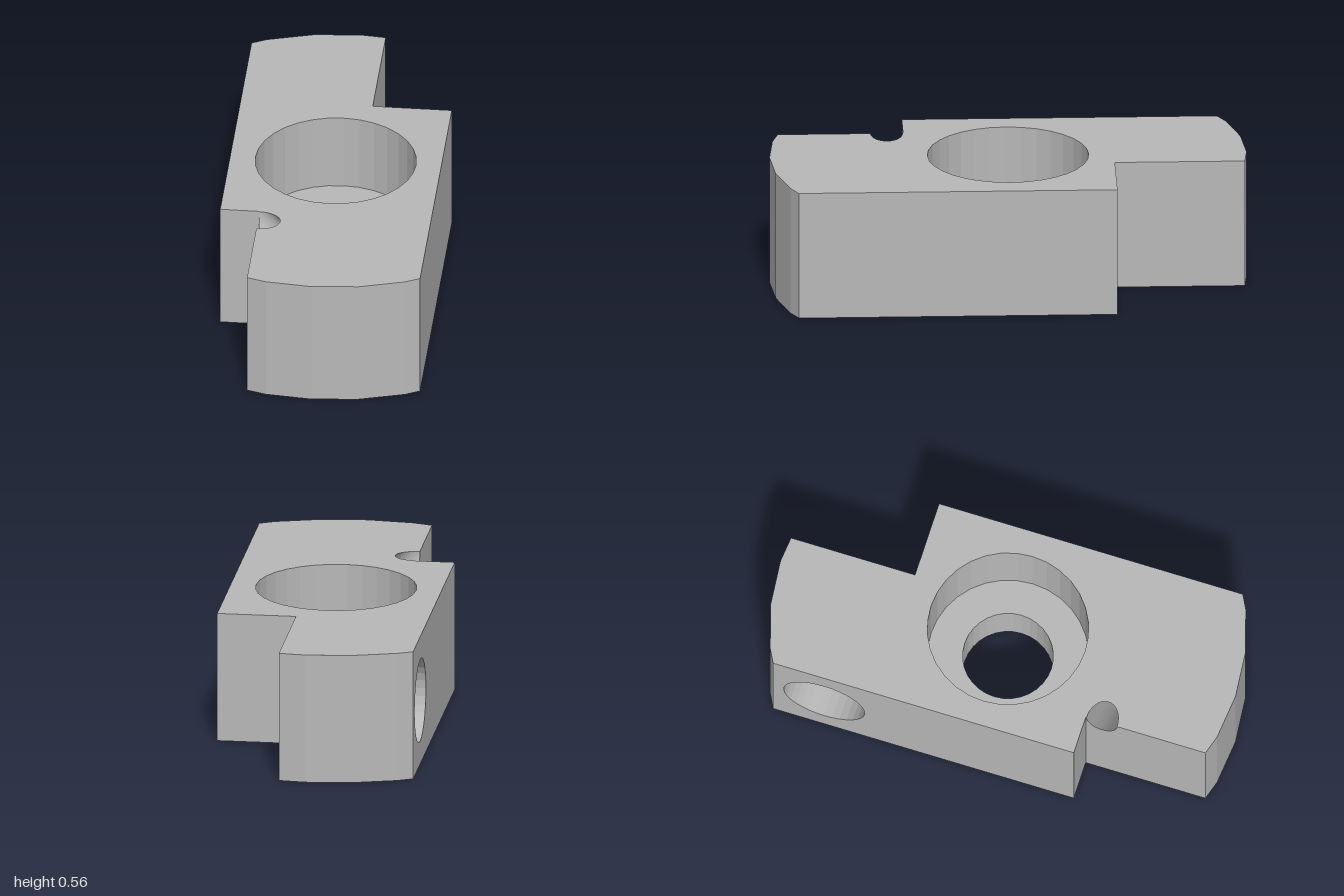
import * as THREE from 'three';
import { mergeGeometries } from 'three/addons/utils/BufferGeometryUtils.js';

const H = 0.556;                 // block height
const SIDES = 32;
const V2 = (x, y) => new THREE.Vector2(x, y);
const V3 = (x, y, z) => new THREE.Vector3(x, y, z);
const UP = V3(0, 1, 0);

// Plan outline as [x, z], counter-clockwise seen from above
const outline = [
  [-0.444, -0.891], [-0.444, 0.43], [-0.278, 0.43], [-0.278, 0.956], [-0.195, 0.981],
  [0, 1], [0.195, 0.981], [0.383, 0.924], [0.444, 0.891], [0.444, -0.444],
  [0.111, -0.444], [0.111, -0.989], [0, -1], [-0.195, -0.981], [-0.383, -0.924],
];

// Sizes of the bores
const counterbore = { r: 0.338, floor: 0.222 };
const throughR = 0.19;
const sideBore = { r: 0.178, y: 0.278, z: -0.667, depth: 0.18 };
const slant = { r: 0.067, rx: 0.094, x: 0.278, z: 0.5 };   // 45 degree drilled hole

// Closed loop or arc of points: fn receives (cos, sin)
const ring = (fn, from = 0, to = Math.PI * 2, n = SIDES) =>
  Array.from({ length: n + 1 }, (_, i) => {
    const t = from + (to - from) * i / n;
    return fn(Math.cos(t), Math.sin(t));
  });
const circle = (cx, cy, rx, ry = rx) => ring((c, s) => V2(cx + rx * c, cy + ry * s)).slice(0, -1);

// Flat face with holes, lying in the plane spanned by u and v
function face(points, holes, origin, u, v) {
  const shape = new THREE.Shape(points);
  holes.forEach(h => shape.holes.push(new THREE.Path(h)));
  const basis = new THREE.Matrix4().makeBasis(u, v, u.clone().cross(v)).setPosition(origin);
  return new THREE.ShapeGeometry(shape).applyMatrix4(basis);
}

// Inward-facing faceted tube between two rings
function boreWall(a, b) {
  const p = [];
  for (let i = 0; i < a.length - 1; i++) {
    p.push(a[i], a[i + 1], b[i + 1], a[i], b[i + 1], b[i]);
  }
  const g = new THREE.BufferGeometry().setFromPoints(p);
  g.computeVertexNormals();
  return g;
}

const levelRing = (r, y) => ring((c, s) => V3(r * c, y, r * s));

export function createModel() {
  const group = new THREE.Group();
  const metal = new THREE.MeshStandardMaterial({ color: 0xb8b8b8 });
  metal.name = 'grey metal';
  const add = (name, geometry) => {
    const mesh = new THREE.Mesh(geometry, metal);
    mesh.name = name;
    group.add(mesh);
  };

  // Top face: the slanted hole breaks out through the edge of the notch
  const topPoints = outline.map(([x, z]) => V2(x, -z));
  topPoints.splice(3, 0, ...ring((c, s) => V2(-slant.x + slant.rx * c, -(slant.z + slant.r * s)),
    -Math.PI / 2, Math.PI / 2, SIDES / 2));
  add('topFace', face(topPoints, [circle(0, 0, counterbore.r)],
    V3(0, H, 0), V3(1, 0, 0), V3(0, 0, -1)));

  // Bottom face
  add('bottomFace', face(outline.map(([x, z]) => V2(x, z)),
    [circle(0, 0, throughR), circle(slant.x, slant.z, slant.rx, slant.r)],
    V3(0, 0, 0), V3(1, 0, 0), V3(0, 0, 1)));

  // Side walls, two of them cut by bores
  const walls = outline.map(([x, z], i) => {
    const [nx, nz] = outline[(i + 1) % outline.length];
    const u = V3(nx - x, 0, nz - z);
    const w = u.length();
    const points = [V2(0, 0), V2(w, 0), V2(w, H), V2(0, H)];
    const holes = [];
    if (i === 0) holes.push(circle(sideBore.z - z, sideBore.y, sideBore.r));
    if (i === 2) {
      points.splice(3, 0, ...ring((c, s) => V2(slant.z - z + slant.r * c, H - slant.rx * s),
        0, Math.PI, SIDES / 2));
    }
    return face(points, holes, V3(x, 0, z), u.normalize(), UP);
  });
  add('sideWalls', mergeGeometries(walls));

  // Stepped centre bore
  add('counterboreWall', boreWall(levelRing(counterbore.r, counterbore.floor), levelRing(counterbore.r, H)));
  add('counterboreFloor', face(circle(0, 0, counterbore.r), [circle(0, 0, throughR)],
    V3(0, counterbore.floor, 0), V3(1, 0, 0), V3(0, 0, -1)));
  add('throughBoreWall', boreWall(levelRing(throughR, 0), levelRing(throughR, counterbore.floor)));

  // Blind bore in the side
  const sideRing = x => ring((c, s) => V3(x, sideBore.y + sideBore.r * s, sideBore.z + sideBore.r * c));
  const endX = -0.444 + sideBore.depth;
  add('sideBoreWall', boreWall(sideRing(-0.444), sideRing(endX)));
  add('sideBoreFloor', face(circle(sideBore.z, sideBore.y, sideBore.r), [],
    V3(endX, 0, 0), V3(0, 0, 1), UP));

  // Slanted hole from the bottom face to the notch, trimmed at the notch wall
  add('slantedBoreWall', boreWall(
    ring((c, s) => V3(slant.x + slant.rx * c, 0, slant.z + slant.r * s)),
    ring((c, s) => V3(-slant.x + Math.max(slant.rx * c, 0), H + Math.min(slant.rx * c, 0),
      slant.z + slant.r * s))));

  return group;
}
